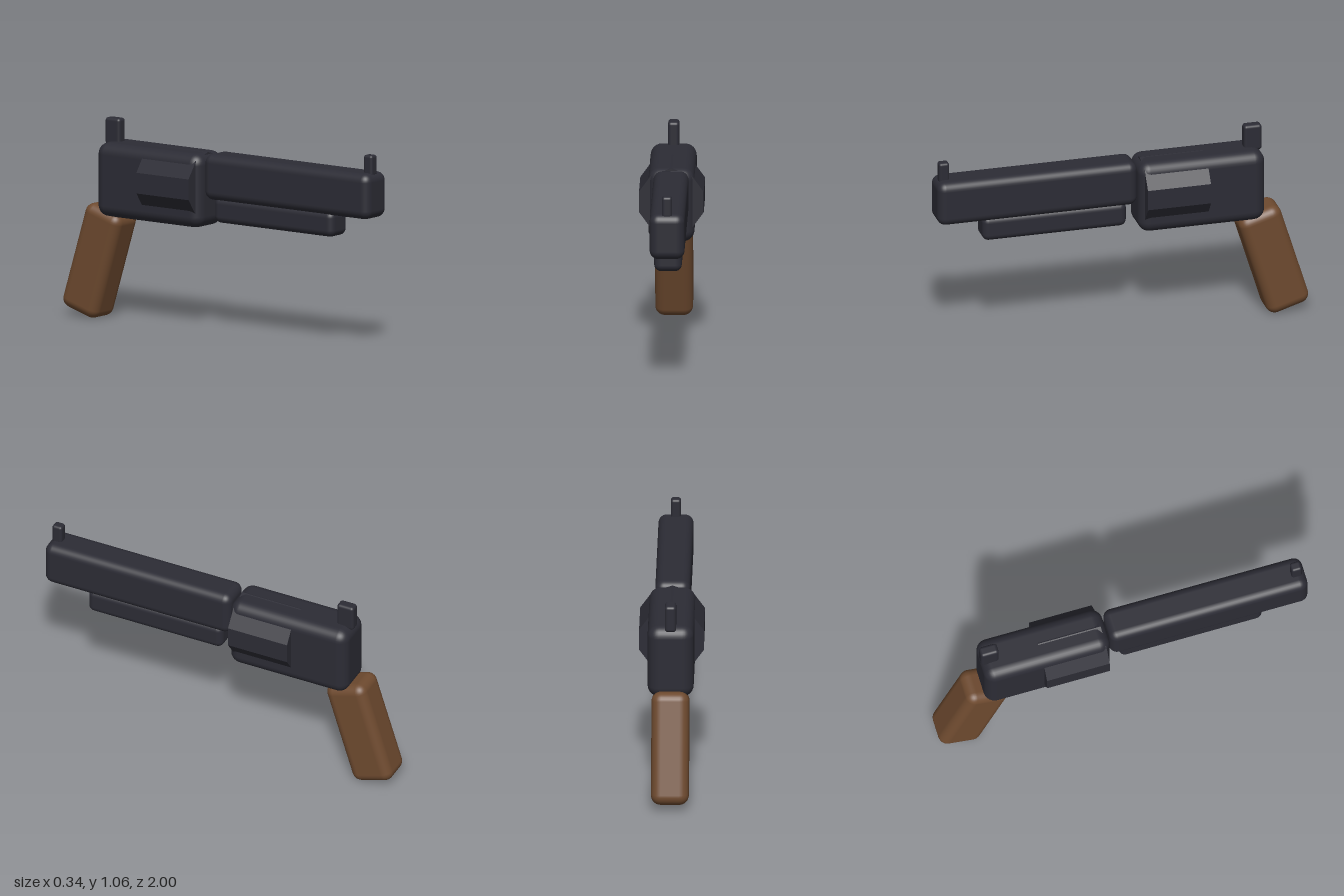
import * as THREE from 'three';
import { RoundedBoxGeometry } from 'three/addons/geometries/RoundedBoxGeometry.js';

export function createModel() {
  const model = new THREE.Group();
  model.name = 'toyRevolver';

  const steel = new THREE.MeshStandardMaterial({ color: 0x2c2c35 });
  steel.name = 'dark steel';
  const wood = new THREE.MeshStandardMaterial({ color: 0x6e4a2f });
  wood.name = 'brown wood';

  // Soft-edged block given by its size, centre and corner radius
  function block(name, material, [w, h, d], [y, z], radius) {
    const mesh = new THREE.Mesh(new RoundedBoxGeometry(w, h, d, 4, radius), material);
    mesh.name = name;
    mesh.position.set(0, y, z);
    model.add(mesh);
    return mesh;
  }

  // Barrel with the rod housing below it
  block('barrel', steel, [0.182, 0.24, 1.075], [0.825, 0.4625], 0.045);
  block('underBarrel', steel, [0.144, 0.135, 0.775], [0.6545, 0.3675], 0.035);

  // Frame behind the barrel
  block('frame', steel, [0.24, 0.39, 0.68], [0.745, -0.418], 0.06);

  // Ten-sided drum, one corner pointing up
  const drumGeometry = new THREE.CylinderGeometry(0.177, 0.177, 0.34, 10).toNonIndexed();
  drumGeometry.rotateX(Math.PI / 2);
  drumGeometry.computeVertexNormals();
  const drum = new THREE.Mesh(drumGeometry, steel);
  drum.name = 'drum';
  drum.position.set(0, 0.765, -0.275);
  model.add(drum);

  // Front sight and hammer
  block('frontSight', steel, [0.052, 0.11, 0.056], [0.983, 0.953], 0.014);
  block('hammer', steel, [0.058, 0.142, 0.096], [0.99, -0.711], 0.016);

  // Grip leaning backwards
  const grip = block('grip', wood, [0.196, 0.588, 0.236], [0.303, -0.8125], 0.05);
  grip.rotation.x = 0.3;

  return model;
}
